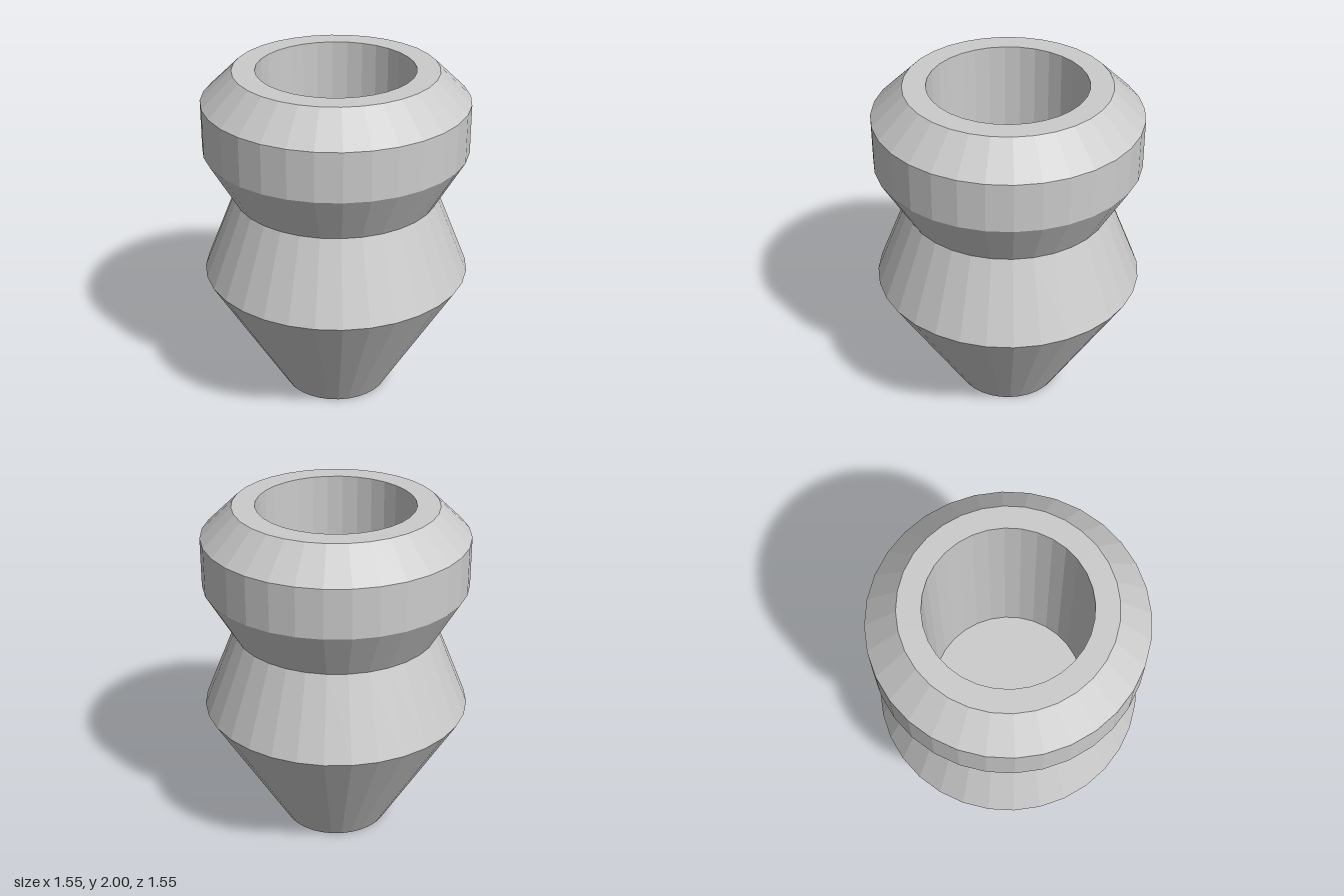
import * as THREE from 'three';

const SIDES = 32;
const WAIST = 0.78;      // height of the widest ring, also the floor of the bore
const BORE = 0.45;       // radius of the opening

export function createModel() {
  const group = new THREE.Group();
  group.name = 'vase';
  const material = new THREE.MeshStandardMaterial({ color: 0xcccccc, flatShading: true });

  const addLathe = (name, points) => {
    const profile = points.map(([r, y]) => new THREE.Vector2(r, y));
    const mesh = new THREE.Mesh(new THREE.LatheGeometry(profile, SIDES), material);
    mesh.name = name;
    group.add(mesh);
  };

  // Flat foot and the tapering lower body, up to the narrow neck
  addLathe('body', [[0, 0], [0.31, 0], [0.775, WAIST], [0.59, 1.245]]);

  // Flared collar with a straight band, a chamfer and a flat rim
  addLathe('collar', [[0.59, 1.245], [0.76, 1.54], [0.76, 1.825], [0.58, 2], [BORE, 2]]);

  // Straight-walled bore with a flat floor
  addLathe('bore', [[BORE, 2], [BORE, WAIST], [0, WAIST]]);

  return group;
}
